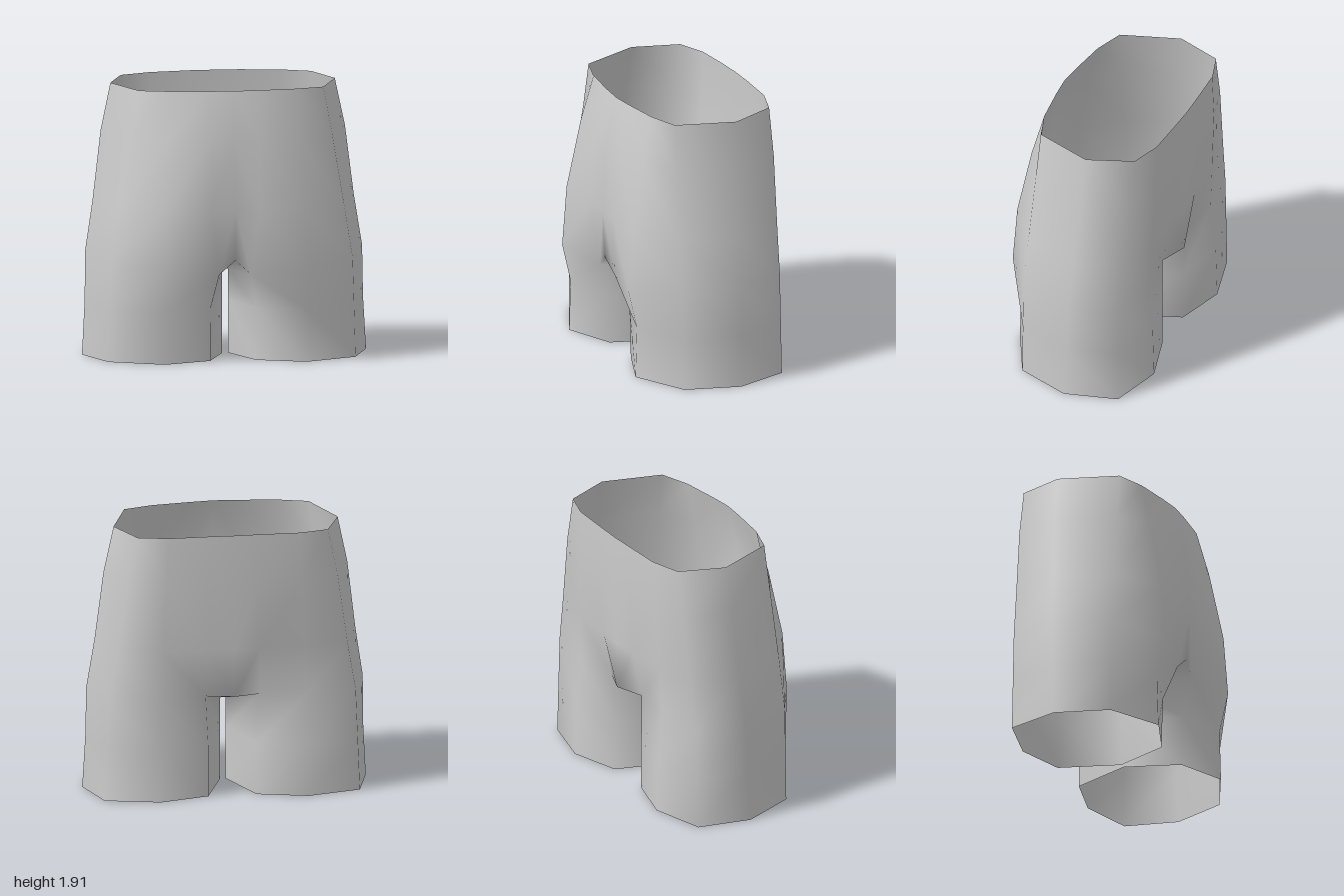
import * as THREE from 'three';
import { mergeVertices } from 'three/addons/utils/BufferGeometryUtils.js';

// Half cross-sections, running from centre front round the side to centre back.
const torsoRows = [
  [[0, 1.9, 0.39], [0.17, 1.9, 0.375], [0.44, 1.9, 0.34], [0.65, 1.9, 0.27], [0.79, 1.9, -0.14],
    [0.67, 1.905, -0.46], [0.46, 1.91, -0.53], [0.17, 1.915, -0.545], [0, 1.915, -0.55]],
  [[0, 1.57, 0.47], [0.17, 1.57, 0.46], [0.47, 1.57, 0.425], [0.71, 1.57, 0.28], [0.86, 1.57, -0.13],
    [0.74, 1.57, -0.46], [0.48, 1.57, -0.535], [0.18, 1.57, -0.55], [0, 1.57, -0.555]],
  [[0, 1.08, 0.5], [0.17, 1.08, 0.51], [0.5, 1.08, 0.52], [0.79, 1.08, 0.3], [0.92, 1.08, -0.11],
    [0.81, 1.08, -0.45], [0.5, 1.08, -0.51], [0.18, 1.08, -0.525], [0, 1.08, -0.535]],
  [[0, 0.72, 0.48], [0.11, 0.62, 0.46], [0.5, 0.65, 0.555], [0.85, 0.7, 0.31], [0.975, 0.73, -0.09],
    [0.87, 0.73, -0.44], [0.52, 0.73, -0.49], [0.19, 0.73, -0.45], [0, 0.74, -0.53]],
];

// Leg rings start on the inner thigh and run round the outside.
const inner = [0.02, 0.59, -0.02];
const legRows = [
  [inner, ...torsoRows[3].slice(1, -1)],
  [[0.02, 0.37, -0.02], [0.16, 0.37, 0.37], [0.5, 0.37, 0.49], [0.86, 0.37, 0.31], [0.98, 0.37, -0.08],
    [0.885, 0.37, -0.44], [0.52, 0.37, -0.53], [0.17, 0.37, -0.44]],
  [[0.02, 0, -0.02], [0.16, 0, 0.36], [0.5, 0, 0.5], [0.87, 0, 0.31], [1, 0, -0.07],
    [0.9, 0, -0.44], [0.52, 0, -0.54], [0.17, 0, -0.44]],
];

function createModel() {
  const positions = [];

  // Each triangle is added together with its mirror image.
  const tri = (a, b, c) => {
    positions.push(...a, ...b, ...c);
    for (const [x, y, z] of [a, c, b]) positions.push(x === 0 ? 0 : -x, y, z);
  };
  const skin = (rows, closed) => {
    for (let r = 0; r < rows.length - 1; r++) {
      const top = rows[r], low = rows[r + 1], n = top.length;
      for (let i = 0; i < (closed ? n : n - 1); i++) {
        const j = (i + 1) % n;
        tri(top[i], low[i], low[j]);
        tri(top[i], low[j], top[j]);
      }
    }
  };

  skin(torsoRows, false);
  skin(legRows, true);

  // Crotch gusset joining both legs to the torso.
  const hip = torsoRows[3];
  const front = hip[0], back = hip[8], middle = [0, 0.59, -0.02];
  tri(front, inner, hip[1]);
  tri(front, middle, inner);
  tri(hip[7], inner, back);
  tri(back, inner, middle);

  let geometry = new THREE.BufferGeometry();
  geometry.setAttribute('position', new THREE.Float32BufferAttribute(positions, 3));
  geometry = mergeVertices(geometry, 1e-4);
  geometry.computeVertexNormals();

  const shorts = new THREE.Mesh(
    geometry,
    new THREE.MeshStandardMaterial({ color: 0xcccccc, side: THREE.DoubleSide })
  );
  shorts.name = 'shorts';

  const group = new THREE.Group();
  group.name = 'shortTrousers';
  group.add(shorts);
  return group;
}

export { createModel };
